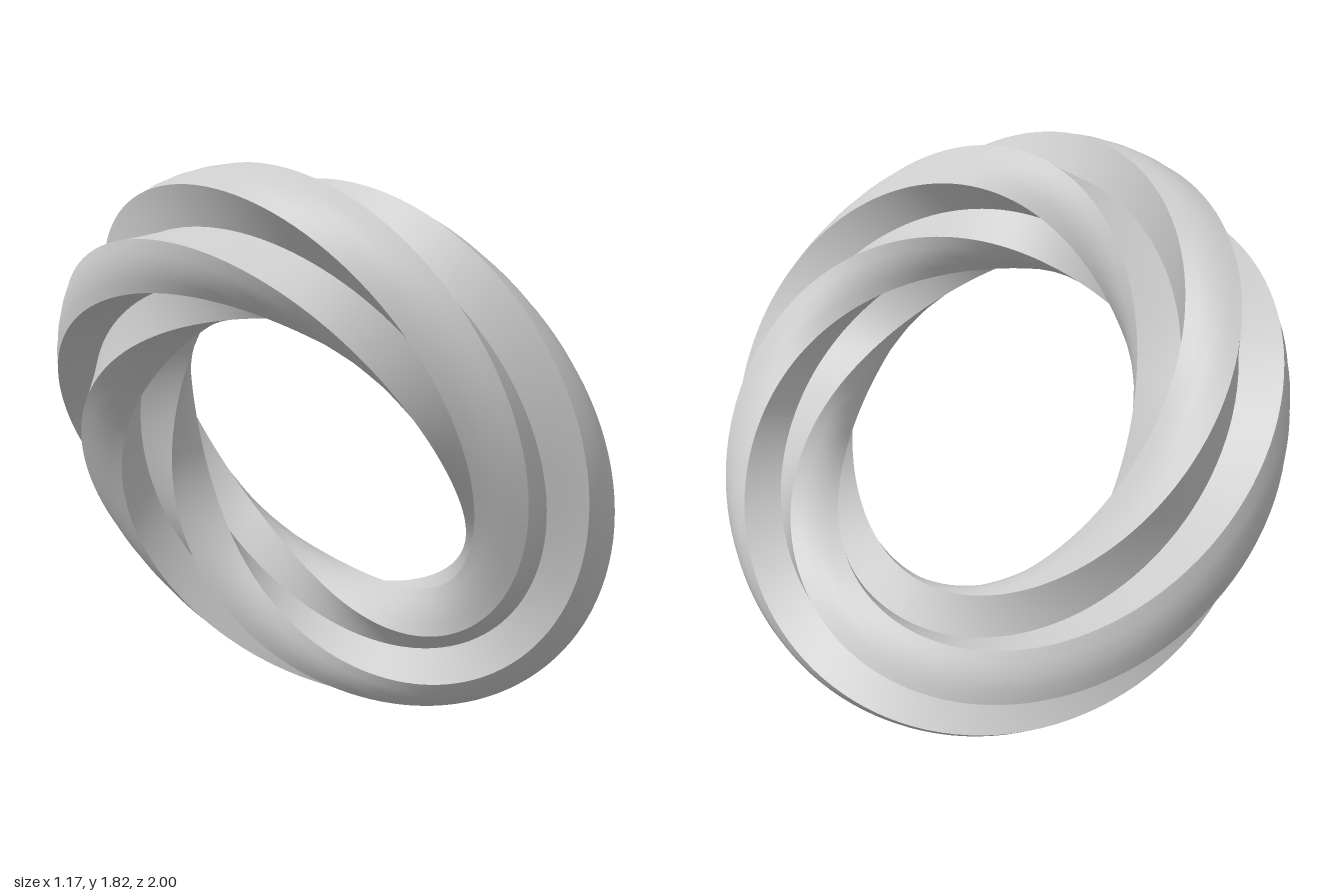
import * as THREE from 'three';

const R = 0.773;                          // ring radius
const TIP = 0.228;                        // reach of each ridge from the tube centre
const HALF = 0.083;                       // half width of a ridge
const TILT = THREE.MathUtils.degToRad(27.7);
const STEPS = 144;

// Ring frame: e0 and up span the ring plane, axis is normal to it
const e0 = new THREE.Vector3(0, 0, 1);
const up = new THREE.Vector3(-Math.sin(TILT), Math.cos(TILT), 0);
const axis = new THREE.Vector3(Math.cos(TILT), Math.sin(TILT), 0);

// Point of the section (radius, angle) at ring angle phi; one full twist per lap
function ringPoint([radius, angle], phi) {
  const out = e0.clone().multiplyScalar(Math.cos(phi)).addScaledVector(up, Math.sin(phi));
  const a = angle + phi;
  return out.multiplyScalar(R + radius * Math.cos(a)).addScaledVector(axis, radius * Math.sin(a));
}

// Closed strip swept round the ring: smooth inside, sharp against its neighbours
function sweep(points) {
  const n = points.length, pos = [], index = [];
  for (let i = 0; i < STEPS; i++) {
    const phi = (i / STEPS) * Math.PI * 2;
    for (const p of points) pos.push(...ringPoint(p, phi).toArray());
    const next = (i + 1) % STEPS;
    for (let j = 0; j < n - 1; j++) {
      const a = i * n + j, b = a + 1, d = next * n + j, c = d + 1;
      index.push(a, b, c, a, c, d);
    }
  }
  const g = new THREE.BufferGeometry();
  g.setAttribute('position', new THREE.Float32BufferAttribute(pos, 3));
  g.setIndex(index);
  g.computeVertexNormals();
  return g;
}

export function createModel() {
  const model = new THREE.Group();
  model.name = 'twistedRing';
  const material = new THREE.MeshStandardMaterial({ color: 0xcccccc });
  const half = Math.asin(HALF / TIP);
  const notch = HALF * Math.SQRT2;

  // Four ridges of a cross-shaped section
  for (let k = 0; k < 4; k++) {
    const c = (k * Math.PI) / 2;
    const ridge = new THREE.Group();
    ridge.name = `ridge${k + 1}`;
    const parts = {
      lowerWall: [[notch, c - Math.PI / 4], [TIP, c - half]],
      crest: [-1, -0.5, 0, 0.5, 1].map((t) => [TIP, c + t * half]),
      upperWall: [[TIP, c + half], [notch, c + Math.PI / 4]],
    };
    for (const [name, points] of Object.entries(parts)) {
      const mesh = new THREE.Mesh(sweep(points), material);
      mesh.name = name;
      ridge.add(mesh);
    }
    model.add(ridge);
  }

  // Stand on the ground, centred
  const box = new THREE.Box3().setFromObject(model, true);
  const mid = box.getCenter(new THREE.Vector3());
  model.position.set(-mid.x, -box.min.y, -mid.z);
  return model;
}
